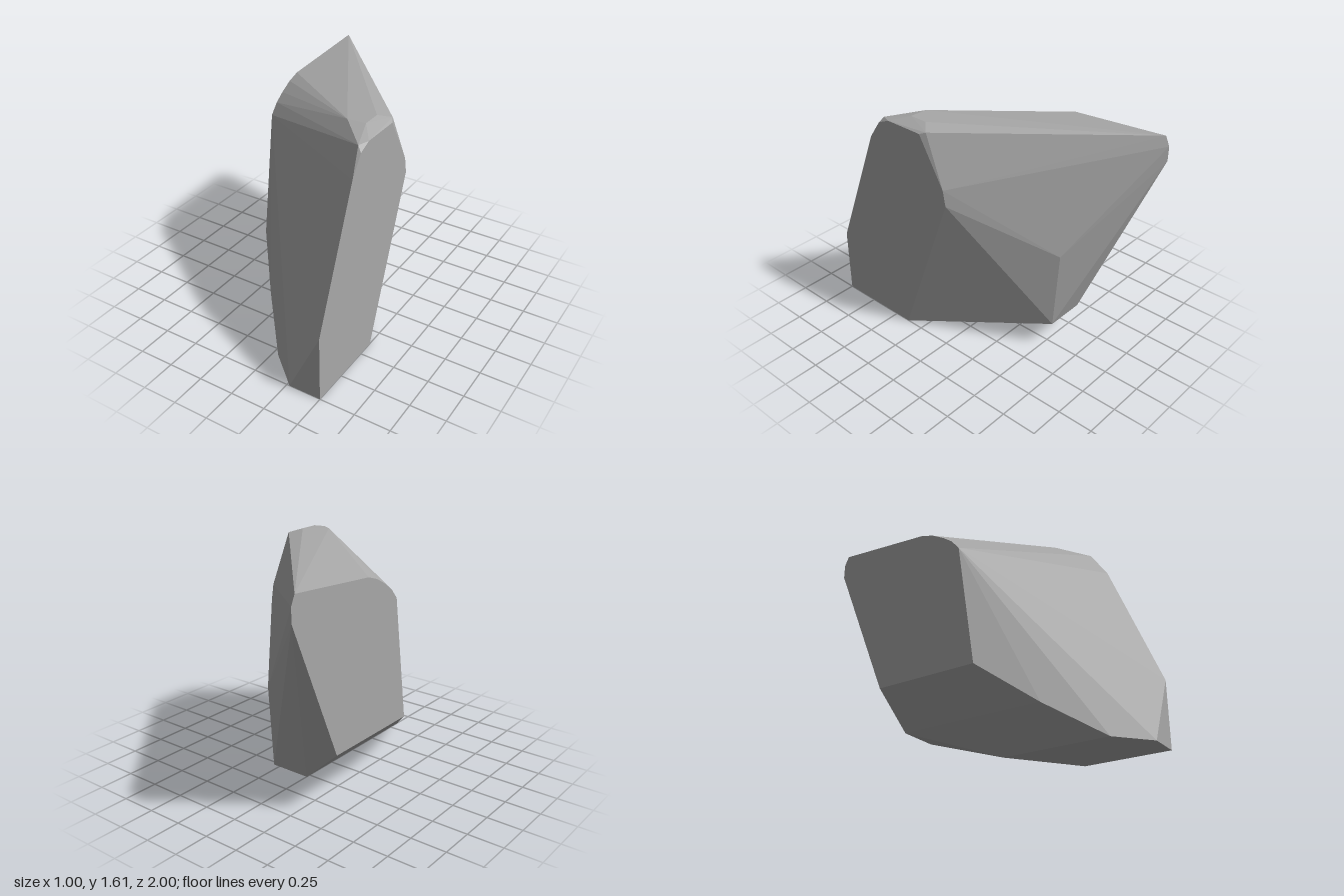
import * as THREE from 'three';
import { ConvexGeometry } from 'three/addons/geometries/ConvexGeometry.js';

export function createModel() {
  const group = new THREE.Group();
  group.name = 'rock';
  const stone = new THREE.MeshStandardMaterial({ color: 0xa8a8a8 });
  stone.name = 'stone grey';

  // Flat sides at x = +-0.5, outlined as [y, z]
  const leftSide = [
    [0, 1], [0.48, 1], [1.4, 0.63], [1.53, 0.54], [1.57, 0.45],
    [1.57, 0.17], [1.24, -0.02], [1.13, -0.04], [0, 0.38],
  ];
  const rightSide = [
    [0.44, 0.16], [1.31, 0.03], [1.38, -0.03], [1.43, -0.1], [1.48, -0.19], [1.51, -0.28],
    [1.565, -0.97], [1.5, -1], [1.4, -1], [0.44, -0.59],
  ];
  // Corners between the two sides, as [x, y, z]
  const base = [[0.27, 0, 1], [0.04, 0, 0.8], [0.04, 0, 0.03]];
  const lowerBevel = [[-0.24, 0.2, 0.48], [-0.24, 0.2, -0.57], [0.04, 0.2, -0.57]];
  const back = [[0.04, 0.77, -0.61]];
  const crown = [
    [0.28, 1.605, 0.33], [0.41, 1.61, 0.33], [0.41, 1.61, 0.2],
    [0.48, 1.585, 0.13], [0.47, 1.565, 0.52],
  ];

  const points = [
    ...leftSide.map(([y, z]) => [0.5, y, z]),
    ...rightSide.map(([y, z]) => [-0.5, y, z]),
    ...base, ...lowerBevel, ...back, ...crown,
  ].map((p) => new THREE.Vector3(...p));

  // Faceted stone block
  const boulder = new THREE.Mesh(new ConvexGeometry(points), stone);
  boulder.name = 'boulder';
  group.add(boulder);
  return group;
}
